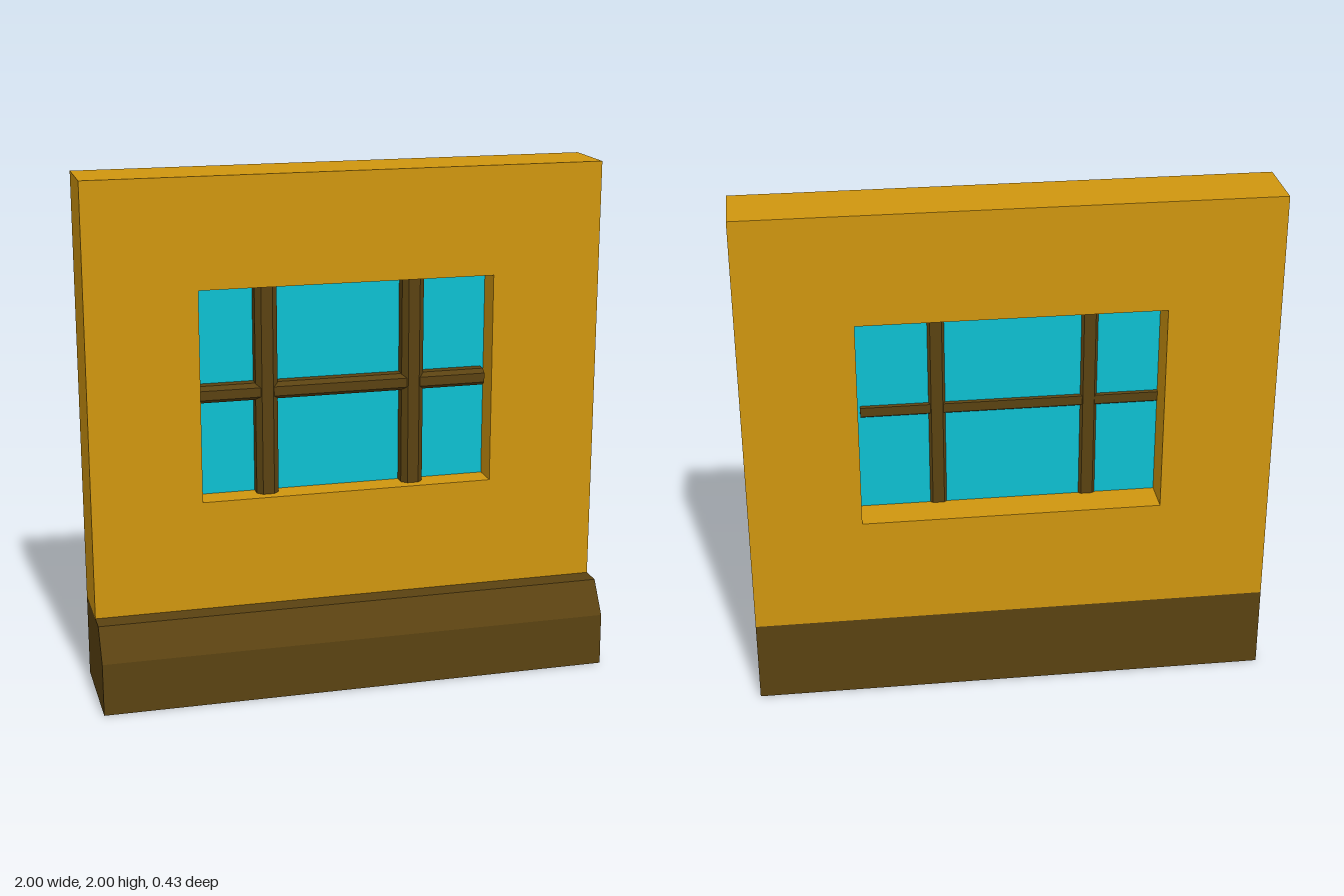
import * as THREE from 'three';

const material = (color) => new THREE.MeshStandardMaterial({ color, flatShading: true });
const plaster = material(0xd0960f);
const wood = material(0x5a4211);
const glass = material(0x0dc0d2);

function polygon(points) {
  return new THREE.Shape(points.map(([x, y]) => new THREE.Vector2(x, y)));
}

function rectangle(x0, x1, y0, y1) {
  return [[x0, y0], [x1, y0], [x1, y1], [x0, y1]];
}

function extrude(shape, depth) {
  return new THREE.ExtrudeGeometry(shape, { depth, bevelEnabled: false });
}

// Rectangular bar section (w by d) with chamfered corners, running along +z
function chamferedBar(w, d, cx, cy, length) {
  const a = w / 2, b = d / 2;
  return extrude(polygon([
    [-a + cx, -b], [a - cx, -b], [a, -b + cy], [a, b - cy],
    [a - cx, b], [-a + cx, b], [-a, b - cy], [-a, -b + cy],
  ]), length);
}

export function createModel() {
  const model = new THREE.Group();
  const add = (name, geometry, mat) => {
    const mesh = new THREE.Mesh(geometry, mat);
    mesh.name = name;
    model.add(mesh);
    return mesh;
  };

  const left = -0.575, right = 0.572, bottom = 0.757, top = 1.578;
  const back = -0.213, front = 0.045, baseTop = 0.327;

  // Wall slab with the window opening
  const wallShape = polygon(rectangle(-1, 1, baseTop, 2));
  wallShape.holes.push(new THREE.Path(polygon(rectangle(left, right, bottom, top)).getPoints()));
  add('wall', extrude(wallShape, front - back).translate(0, 0, back), plaster);

  // Plinth with a sloped front edge, profile drawn in (z, y)
  const plinth = polygon([[back, 0], [0.213, 0], [0.21, 0.205], [0.128, baseTop], [back, baseTop]]);
  add('plinth', extrude(plinth, 2).rotateY(-Math.PI / 2).translate(1, 0, 0), wood);

  // Window pane
  const pane = new THREE.BoxGeometry(right - left, top - bottom, 0.013);
  add('windowPane', pane.translate((left + right) / 2, (bottom + top) / 2, -0.067), glass);

  // Upright glazing bars
  for (const x of [-0.309, 0.269]) {
    const bar = chamferedBar(0.086, 0.086, 0.021, 0.021, top - bottom);
    add('uprightBar', bar.rotateX(-Math.PI / 2).translate(x, bottom, -0.04), wood);
  }

  // Horizontal glazing bar, stopping just short of the right jamb
  const crossBar = chamferedBar(0.08, 0.066, 0.02, 0.015, 0.558 - left);
  add('crossBar', crossBar.rotateY(Math.PI / 2).translate(left, 1.163, -0.041), wood);

  return model;
}
